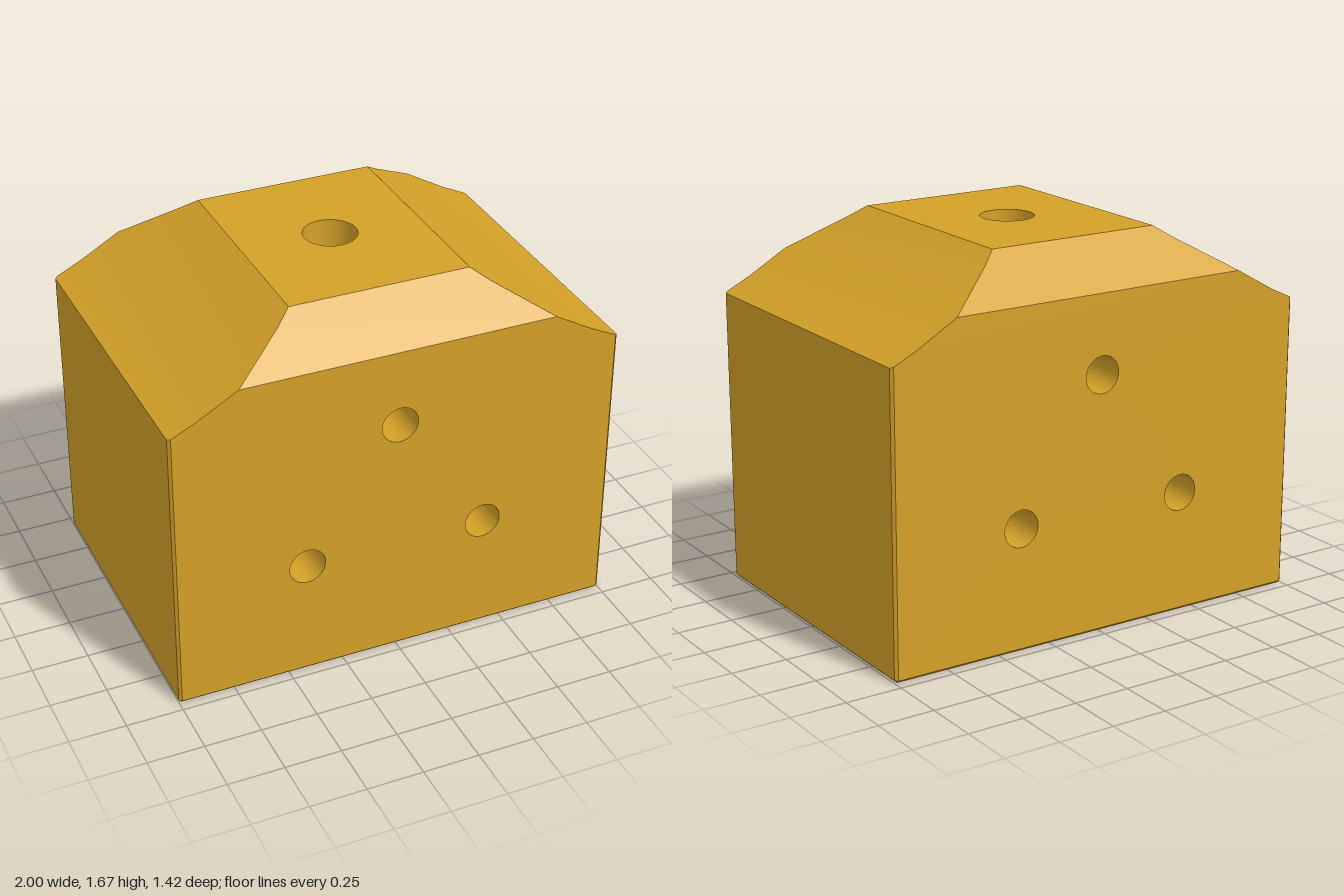
import * as THREE from 'three';
import { mergeGeometries, toCreasedNormals } from 'three/addons/utils/BufferGeometryUtils.js';

const W = 1, D = 0.71, H = 1.667, B = 0.012;   // half width, half depth, height, edge bevel
const CENTRE = new THREE.Vector3(0, 0.8, 0);
const SHOULDER = 1.475, TOP_Z = 0.5;           // front/back slope: where it starts, where it ends
const BORE = 0.117, PIN = 0.081;               // vertical and horizontal hole radii
const pins = [[0, 1.13], [-0.414, 0.54], [0.397, 0.54]];

// right half of the roof line, from the side wall to the flat top
const roof = [[W, 1.315], [W - B, 1.32], [0.88, 1.372], [0.7, SHOULDER], [0.47, 1.617], [0.4, H]];
const depthAt = y => Math.min(D, TOP_Z + (H - y) * (D - TOP_Z) / (H - SHOULDER));

const circle = (x, y, r, n = 48) => Array.from({ length: n }, (_, i) => {
  const t = i / n * Math.PI * 2;
  return new THREE.Vector2(x + r * Math.cos(t), y + r * Math.sin(t));
});
const mirrored = half => [...half, ...half.map(([x, y]) => [-x, y]).reverse()];

// flat face with holes, placed in space by a rule
function sheet(outline, holes, place) {
  const shape = new THREE.Shape(outline.map(p => new THREE.Vector2(...p)));
  shape.holes = holes.map(h => new THREE.Path(h));
  const g = new THREE.ShapeGeometry(shape).toNonIndexed();
  const p = g.attributes.position;
  for (let i = 0; i < p.count; i++) p.setXYZ(i, ...place(p.getX(i), p.getY(i)));
  return bare(g);
}

function bare(g) {
  g.deleteAttribute('uv');
  g.deleteAttribute('normal');
  return g;
}

// convex polygon from its corners
function polygon(...c) {
  const v = [];
  for (let i = 1; i < c.length - 1; i++) v.push(...c[0], ...c[i], ...c[i + 1]);
  return new THREE.BufferGeometry().setAttribute('position', new THREE.Float32BufferAttribute(v, 3));
}

// turn every triangle away from the block's centre
function faceOutward(g) {
  const p = g.attributes.position;
  const [a, b, c] = [0, 1, 2].map(() => new THREE.Vector3());
  const t = new THREE.Triangle(a, b, c), n = new THREE.Vector3();
  for (let i = 0; i < p.count; i += 3) {
    a.fromBufferAttribute(p, i);
    b.fromBufferAttribute(p, i + 1);
    c.fromBufferAttribute(p, i + 2);
    t.getNormal(n);
    if (n.dot(a.clone().sub(CENTRE)) < 0) {
      p.setXYZ(i + 1, c.x, c.y, c.z);
      p.setXYZ(i + 2, b.x, b.y, b.z);
    }
  }
  return g;
}

// inward-facing hole wall between two rims given as functions of angle
function wall(low, high, n) {
  const v = [];
  for (let i = 0; i < n; i++) {
    const t = i / n * Math.PI * 2, u = (i + 1) % n / n * Math.PI * 2;
    v.push(...low(t), ...high(t), ...low(u), ...low(u), ...high(t), ...high(u));
  }
  return new THREE.BufferGeometry().setAttribute('position', new THREE.Float32BufferAttribute(v, 3));
}

export function createModel() {
  const group = new THREE.Group();
  const material = new THREE.MeshStandardMaterial({ color: 0xd4a128 });
  const add = (name, parts) => {
    const mesh = new THREE.Mesh(toCreasedNormals(mergeGeometries(parts), 0.4), material);
    mesh.name = name;
    group.add(mesh);
  };

  const shell = [];
  const wx = W - B, dz = D - B;
  const [sideTop, bevelTop] = [roof[0][1], roof[1][1]];
  for (const s of [1, -1]) {
    // front and back walls with pin holes, and the slopes above them
    shell.push(sheet(mirrored([[wx, B], ...roof.slice(1, 4)]),
      pins.map(([x, y]) => circle(x, y, PIN)), (x, y) => [x, y, s * D]));
    shell.push(sheet(mirrored(roof.slice(3)), [], (x, y) => [x, y, s * depthAt(y)]));
    // side walls
    shell.push(polygon([s * W, B, dz], [s * W, B, -dz], [s * W, sideTop, -dz], [s * W, sideTop, dz]));
    // bottom bevels
    shell.push(polygon([-wx, B, s * D], [wx, B, s * D], [wx, 0, s * dz], [-wx, 0, s * dz]));
    shell.push(polygon([s * W, B, -dz], [s * W, B, dz], [s * wx, 0, dz], [s * wx, 0, -dz]));
    // upright corner bevels and their bottom tips
    for (const f of [1, -1]) {
      shell.push(polygon([s * W, B, f * dz], [s * W, sideTop, f * dz], [s * wx, bevelTop, f * D], [s * wx, B, f * D]));
      shell.push(polygon([s * W, B, f * dz], [s * wx, B, f * D], [s * wx, 0, f * dz]));
    }
    // curved side slopes of the roof
    for (let i = 0; i < roof.length - 1; i++) {
      const [[x0, y0], [x1, y1]] = [roof[i], roof[i + 1]];
      const z0 = i === 0 ? dz : depthAt(y0), z1 = depthAt(y1);
      shell.push(polygon([s * x0, y0, z0], [s * x0, y0, -z0], [s * x1, y1, -z1], [s * x1, y1, z1]));
    }
  }
  // flat top and underside, both pierced by the bore
  const rect = (x, z) => [[-x, -z], [x, -z], [x, z], [-x, z]];
  shell.push(sheet(rect(0.4, TOP_Z), [circle(0, 0, BORE, 96)], (x, z) => [x, H, z]));
  shell.push(sheet(rect(wx, dz), [circle(0, 0, BORE, 96)], (x, z) => [x, 0, z]));
  add('block', shell.map(faceOutward));

  // vertical bore, opened where the upper pin hole crosses it
  const crossY = pins[0][1];
  const gap = t => Math.sqrt(Math.max(0, PIN ** 2 - (BORE * Math.sin(t)) ** 2));
  const bore = y => t => [BORE * Math.sin(t), y(t), BORE * Math.cos(t)];
  add('verticalBore', [
    wall(bore(() => 0), bore(t => crossY - gap(t)), 96),
    wall(bore(t => crossY + gap(t)), bore(() => H), 96),
  ]);

  // horizontal pin holes; the upper one ends at the bore on both sides
  const pin = ([x, y], z) => t => [x + PIN * Math.cos(t), y + PIN * Math.sin(t), z(t)];
  const meet = t => Math.sqrt(BORE ** 2 - (PIN * Math.cos(t)) ** 2);
  add('upperPinHole', [
    wall(pin(pins[0], () => -D), pin(pins[0], t => -meet(t)), 48),
    wall(pin(pins[0], meet), pin(pins[0], () => D), 48),
  ]);
  pins.slice(1).forEach((p, i) =>
    add(['rightPinHole', 'leftPinHole'][i], [wall(pin(p, () => -D), pin(p, () => D), 48)]));

  return group;
}
